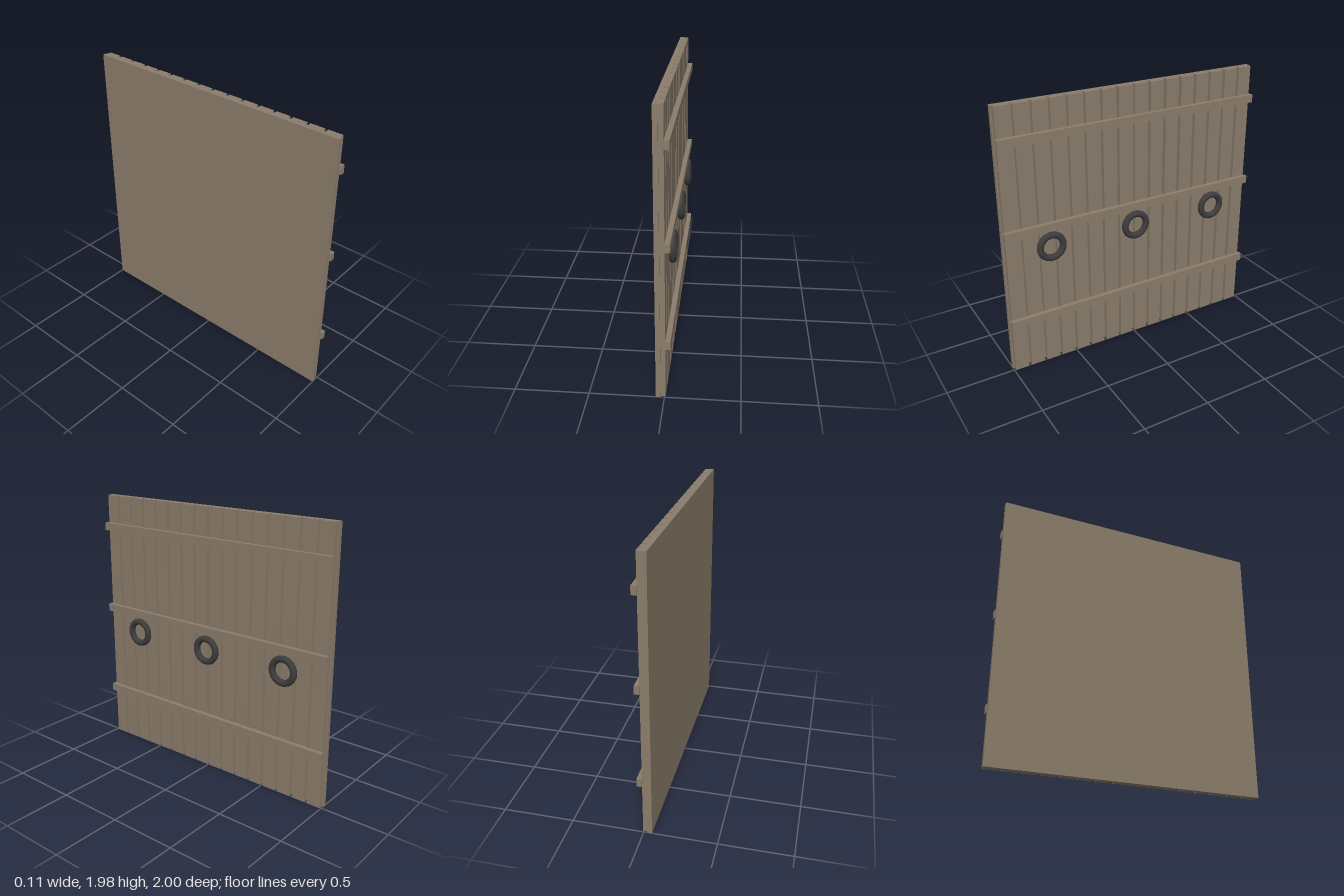
import * as THREE from 'three';

const HEIGHT = 1.977;
const LENGTH = 2;
const PLANKS = 16;
const GAP = 0.021;

export function createModel() {
  const group = new THREE.Group();
  group.name = 'plankWall';

  const wood = new THREE.MeshStandardMaterial({ color: 0x8b7d6b });
  wood.name = 'weathered wood';
  const rubber = new THREE.MeshStandardMaterial({ color: 0x3c3c3c });
  rubber.name = 'dark rubber';

  // box given by its x and y ranges, its length along z and its z centre
  const board = (name, x0, x1, y0, y1, length, z = 0) => {
    const mesh = new THREE.Mesh(new THREE.BoxGeometry(x1 - x0, y1 - y0, length), wood);
    mesh.name = name;
    mesh.position.set((x0 + x1) / 2, (y0 + y1) / 2, z);
    group.add(mesh);
  };

  // solid backing panel
  board('backPanel', -0.057, -0.025, 0, HEIGHT, LENGTH);

  // upright planks with narrow gaps
  const pitch = LENGTH / PLANKS;
  for (let i = 0; i < PLANKS; i++) {
    board(`plank${i + 1}`, -0.025, 0.007, 0, HEIGHT, pitch - GAP, (i + 0.5) * pitch - LENGTH / 2);
  }

  // three horizontal rails
  [['lowerRail', 0.4], ['middleRail', 1.09], ['upperRail', 1.74]].forEach(([name, y]) =>
    board(name, 0.007, 0.041, y - 0.029, y + 0.029, LENGTH));

  // mooring fender rings lying against the planks
  const ringGeometry = new THREE.TorusGeometry(0.086, 0.024, 12, 32).rotateY(Math.PI / 2);
  [-0.667, 0, 0.667].forEach((z, i) => {
    const ring = new THREE.Mesh(ringGeometry, rubber);
    ring.name = `fenderRing${i + 1}`;
    ring.position.set(0.033, 0.943, z);
    group.add(ring);
  });

  return group;
}
